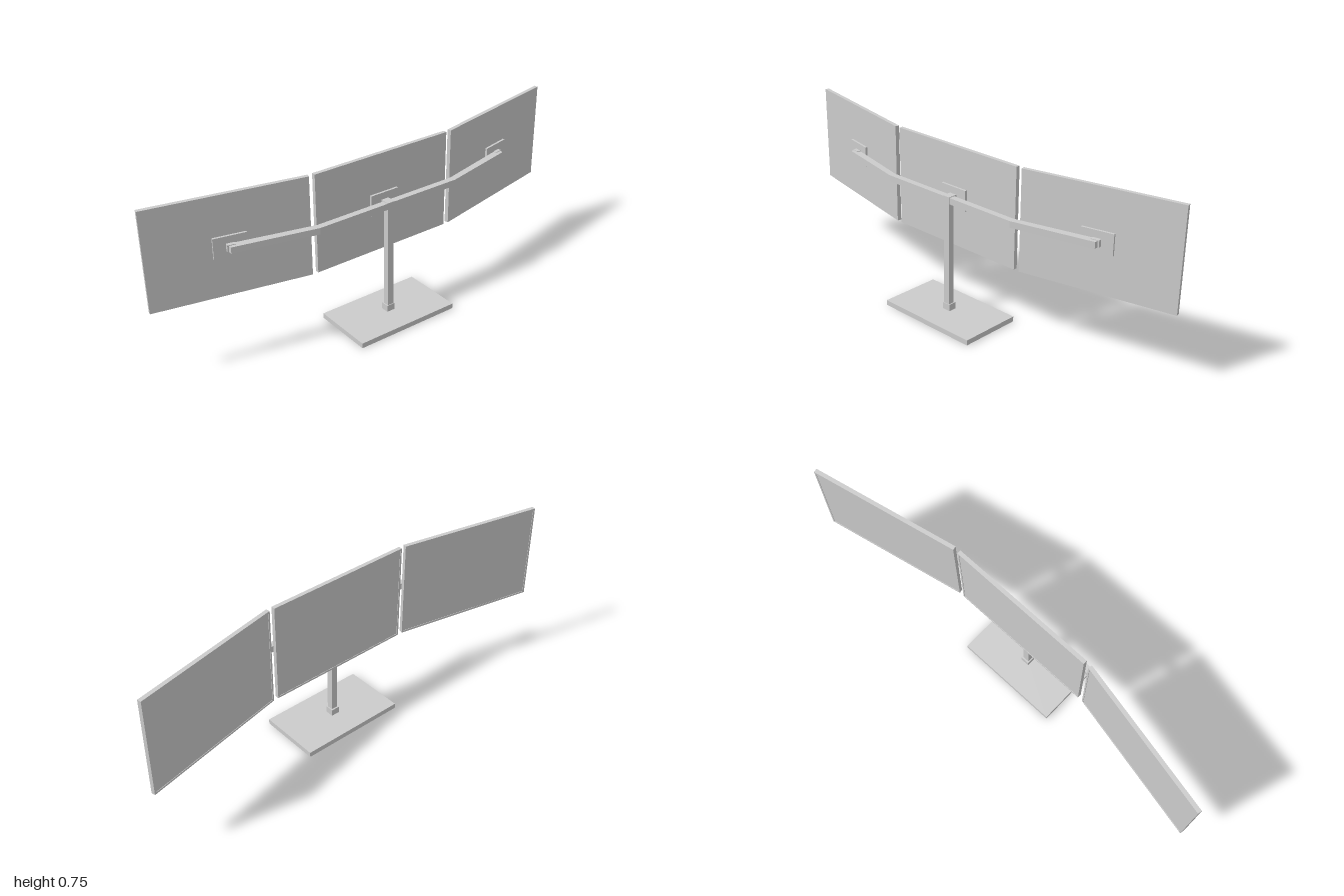
import * as THREE from 'three';

const material = new THREE.MeshStandardMaterial({ color: 0xcccccc, flatShading: true });

function add(parent, name, geometry, x = 0, y = 0, z = 0) {
  const mesh = new THREE.Mesh(geometry, material);
  mesh.name = name;
  mesh.position.set(x, y, z);
  parent.add(mesh);
  return mesh;
}

// Box given by its lower and upper corners
function box(parent, name, [x0, y0, z0], [x1, y1, z1]) {
  return add(parent, name, new THREE.BoxGeometry(x1 - x0, y1 - y0, z1 - z0),
    (x0 + x1) / 2, (y0 + y1) / 2, (z0 + z1) / 2);
}

// One monitor facing -x, with its mounting plate and bracket on the +x side
function createMonitor(name, bracketEnd) {
  const g = new THREE.Group();
  g.name = name;
  const hw = 0.33, hh = 0.218, t = 0.00875, bezel = 0.008, recess = 0.002;
  box(g, 'housing', [-t + recess, -hh, -hw], [t, hh, hw]);

  // Thin raised bezel around the display
  const rim = new THREE.Shape([[-hw, -hh], [hw, -hh], [hw, hh], [-hw, hh]].map(p => new THREE.Vector2(...p)));
  const iw = hw - bezel, ih = hh - bezel;
  rim.holes.push(new THREE.Path([[-iw, -ih], [-iw, ih], [iw, ih], [iw, -ih]].map(p => new THREE.Vector2(...p))));
  const rimGeometry = new THREE.ExtrudeGeometry(rim, { depth: recess, bevelEnabled: false });
  rimGeometry.rotateY(-Math.PI / 2);
  add(g, 'bezel', rimGeometry, -t + recess);

  box(g, 'mountingPlate', [t, -0.045, -0.068], [0.0185, 0.046, 0.068]);
  box(g, 'bracket', [0.0185, -0.015, -0.0175], [bracketEnd, 0.0155, 0.0175]);
  return g;
}

export function createModel() {
  const model = new THREE.Group();
  model.name = 'tripleMonitorStand';

  // Base, collar and post
  box(model, 'base', [-0.115, 0, -0.243], [0.165, 0.023, 0.243]);
  box(model, 'collar', [0.005, 0.023, -0.02], [0.043, 0.053, 0.02]);
  box(model, 'post', [0.012, 0.053, -0.015], [0.04, 0.516, 0.015]);

  // Angled crossbar, drawn in plan and extruded upward
  const half = [[0.04, 0.345], [-0.04, 0.695], [-0.074, 0.695], [0.012, 0.34]];
  const outline = [...half, ...half.map(([x, z]) => [x, -z]).reverse()];
  const barGeometry = new THREE.ExtrudeGeometry(
    new THREE.Shape(outline.map(p => new THREE.Vector2(...p))), { depth: 0.028, bevelEnabled: false });
  barGeometry.rotateX(-Math.PI / 2);
  add(model, 'crossbar', barGeometry, 0, 0.515, 0);

  // Centre monitor and two wings turned inward
  const centre = createMonitor('centreMonitor', 0.06);
  centre.position.set(-0.0185, 0.53, 0);
  model.add(centre);
  for (const side of [1, -1]) {
    const wing = createMonitor(side > 0 ? 'wingMonitorA' : 'wingMonitorB', 0.035);
    wing.position.set(-0.0875, 0.53, side * 0.6765);
    wing.rotation.y = -side * THREE.MathUtils.degToRad(12);
    model.add(wing);
  }
  return model;
}
